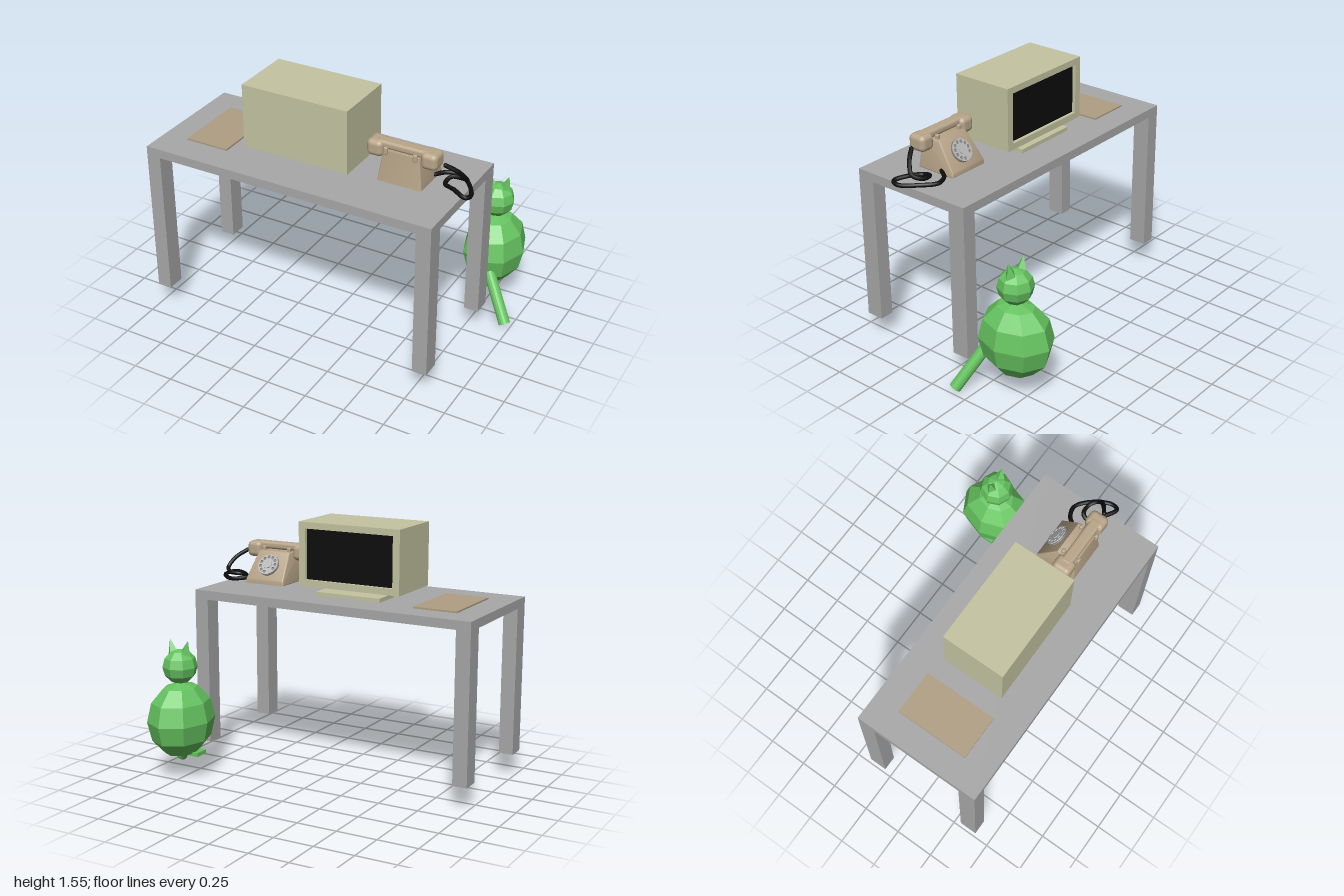
import * as THREE from 'three';
import { RoundedBoxGeometry } from 'three/addons/geometries/RoundedBoxGeometry.js';
import { toCreasedNormals } from 'three/addons/utils/BufferGeometryUtils.js';

const material = (name, color) => {
  const m = new THREE.MeshStandardMaterial({ color });
  m.name = name;
  return m;
};
const V = (x, y, z) => new THREE.Vector3(x, y, z);

export function createModel() {
  const grey = material('deskGrey', 0xa8a8a8);
  const beige = material('monitorBeige', 0xc4c4a2);
  const tan = material('folderTan', 0xaf9f83);
  const phoneTan = material('phoneTan', 0xb9a68a);
  const green = material('catGreen', 0x66c460);
  green.flatShading = true;
  const black = material('black', 0x0c0c0c);
  const silver = material('dialSilver', 0xb8b8b8);
  const darkGrey = material('dialGrey', 0x858582);

  const model = new THREE.Group();
  const group = (name) => {
    const g = new THREE.Group();
    g.name = name;
    model.add(g);
    return g;
  };
  const add = (parent, name, geometry, mat) => {
    const mesh = new THREE.Mesh(geometry, mat);
    mesh.name = name;
    parent.add(mesh);
    return mesh;
  };
  // box given by its min and max on each axis
  const box = (parent, name, mat, x0, x1, y0, y1, z0, z1, round = 0) => {
    const s = [x1 - x0, y1 - y0, z1 - z0];
    const geo = round ? new RoundedBoxGeometry(...s, 3, round) : new THREE.BoxGeometry(...s);
    const mesh = add(parent, name, geo, mat);
    mesh.position.set((x0 + x1) / 2, (y0 + y1) / 2, (z0 + z1) / 2);
    return mesh;
  };

  // Desk
  const desk = group('desk');
  box(desk, 'deskTop', grey, -1, 0.84, 1.055, 1.11, -0.135, 0.665);
  for (const x of [-1, 0.75])
    for (const z of [-0.135, 0.555])
      box(desk, 'deskLeg', grey, x, x + 0.09, 0.145, 1.055, z, z + 0.11);

  // Folder lying on the desk
  box(model, 'folder', tan, -0.84, -0.565, 1.11, 1.12, 0.03, 0.485);

  // Monitor with a recessed screen on the -z side
  const monitor = group('monitor');
  const [mx0, mx1, my0, my1] = [-0.455, 0.22, 1.16, 1.55];
  const rect = (Type, d, e) => new Type([
    new THREE.Vector2(mx0 + d, my0 + e), new THREE.Vector2(mx1 - d, my0 + e),
    new THREE.Vector2(mx1 - d, my1 - e), new THREE.Vector2(mx0 + d, my1 - e),
  ]);
  const bezel = rect(THREE.Shape, 0, 0);
  bezel.holes.push(rect(THREE.Path, 0.045, 0.04));
  add(monitor, 'bezel', new THREE.ExtrudeGeometry(bezel, { depth: 0.03, bevelEnabled: false }), beige)
    .position.z = 0.07;
  box(monitor, 'monitorCase', beige, mx0, mx1, my0, my1, 0.1, 0.46);
  box(monitor, 'screen', black, mx0 + 0.045, mx1 - 0.045, my0 + 0.04, my1 - 0.04, 0.092, 0.1);
  box(monitor, 'monitorBase', beige, -0.33, 0.1, 1.11, 1.135, 0.065, 0.25);

  // Telephone body: side profile in (z, y), tapering upwards
  const phone = group('telephone');
  const profile = new THREE.Shape([
    [0.375, 1.138], [0.133, 1.138], [0.133, 1.155], [0.248, 1.312], [0.36, 1.312],
  ].map(([z, y]) => new THREE.Vector2(z, y)));
  let body = new THREE.ExtrudeGeometry(profile, {
    depth: 0.259, bevelEnabled: true, bevelSize: 0.008, bevelThickness: 0.008, bevelSegments: 3,
  });
  body.translate(0, 0, -0.1295).rotateY(-Math.PI / 2);
  const p = body.attributes.position;
  for (let i = 0; i < p.count; i++) p.setX(i, p.getX(i) * (1 - (p.getY(i) - 1.13) * 1.05));
  body.computeVertexNormals();
  body = toCreasedNormals(body, 0.7);
  add(phone, 'phoneBody', body, phoneTan).position.x = 0.502;

  // Cradle prongs and handset
  for (const x of [0.4, 0.58]) {
    box(phone, 'cradle', phoneTan, x, x + 0.025, 1.3, 1.345, 0.262, 0.285, 0.007);
    box(phone, 'cradle', phoneTan, x, x + 0.025, 1.3, 1.345, 0.365, 0.385, 0.007);
  }
  box(phone, 'handle', phoneTan, 0.34, 0.67, 1.322, 1.369, 0.292, 0.362, 0.018);
  for (const x of [0.29, 0.62])
    box(phone, 'handsetEnd', phoneTan, x, x + 0.1, 1.268, 1.367, 0.266, 0.382, 0.03);

  // Rotary dial on the sloping face
  const dial = new THREE.Group();
  dial.name = 'dial';
  phone.add(dial);
  const n = V(0, 0.59, -0.807).normalize();
  dial.position.set(0.502, 1.238, 0.184).addScaledVector(n, 0.008);
  dial.lookAt(dial.position.clone().add(n));
  const disc = (name, r, depth, z, mat) => {
    const g = new THREE.CylinderGeometry(r, r, depth, 32).rotateX(Math.PI / 2);
    add(dial, name, g, mat).position.z = z;
  };
  disc('dialPlate', 0.07, 0.008, 0, darkGrey);
  const wheel = new THREE.Shape().absarc(0, 0, 0.068, 0, Math.PI * 2);
  for (let i = 0; i < 10; i++) {
    const a = -0.5 + i * 0.56;
    wheel.holes.push(new THREE.Path().absarc(0.051 * Math.cos(a), 0.051 * Math.sin(a), 0.0105, 0, Math.PI * 2, true));
  }
  add(dial, 'fingerWheel', new THREE.ExtrudeGeometry(wheel, { depth: 0.006, bevelEnabled: false, curveSegments: 16 }), silver)
    .position.z = 0.006;
  disc('dialHub', 0.027, 0.006, 0.014, silver);

  // Cord looping over the desk and up to the handset
  const path = new THREE.CatmullRomCurve3([
    V(0.635, 1.155, 0.21), V(0.68, 1.15, 0.15), V(0.75, 1.145, 0.13), V(0.83, 1.145, 0.19),
    V(0.895, 1.138, 0.3), V(0.88, 1.145, 0.345), V(0.8, 1.155, 0.31), V(0.725, 1.15, 0.265),
    V(0.735, 1.165, 0.205), V(0.8, 1.17, 0.2), V(0.842, 1.195, 0.24), V(0.81, 1.255, 0.285),
    V(0.75, 1.3, 0.325),
  ]);
  add(phone, 'cord', new THREE.TubeGeometry(path, 120, 0.013, 8), black);
  for (const t of [0, 1])
    add(phone, 'cordEnd', new THREE.SphereGeometry(0.013, 8, 6), black).position.copy(path.getPoint(t));

  // Cat sitting behind the desk
  const cat = group('cat');
  const torso = add(cat, 'catBody', new THREE.SphereGeometry(1, 8, 6), green);
  torso.scale.set(0.19, 0.235, 0.235);
  torso.position.set(0.757, 0.37, -0.428);
  add(cat, 'catHead', new THREE.SphereGeometry(0.107, 8, 6), green).position.set(0.757, 0.7, -0.428);
  for (const s of [-1, 1]) {
    const ear = add(cat, 'catEar', new THREE.ConeGeometry(0.045, 0.11, 4), green);
    ear.position.set(0.757 + s * 0.052, 0.812, -0.432);
    ear.rotation.z = -s * 0.25;
  }
  box(cat, 'catFoot', green, 0.625, 0.75, 0.155, 0.18, -0.455, -0.365);

  // Tail slanting down from the body
  const from = V(0.8, 0.285, -0.262), to = V(0.967, 0.023, -0.148);
  const dir = to.clone().sub(from);
  const tail = add(cat, 'catTail', new THREE.CylinderGeometry(0.035, 0.035, dir.length(), 16), green);
  tail.position.copy(from).addScaledVector(dir, 0.5);
  tail.quaternion.setFromUnitVectors(V(0, 1, 0), dir.normalize());

  return model;
}
